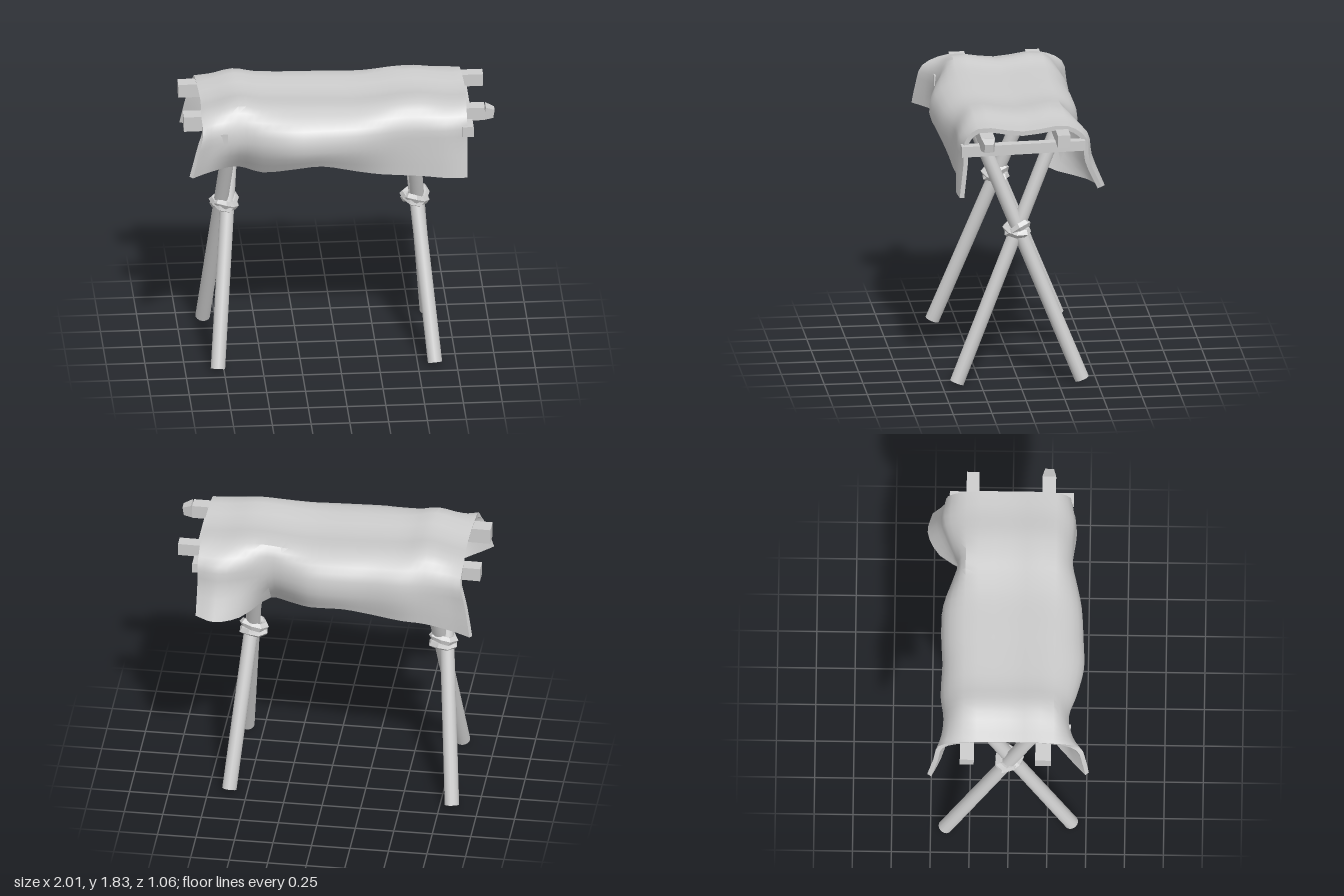
import * as THREE from 'three';
import { toCreasedNormals } from 'three/addons/utils/BufferGeometryUtils.js';

const V = (x, y, z) => new THREE.Vector3(x, y, z);
const UP = V(0, 1, 0);

// Straight pole or beam between two points; 4 sides gives a square beam
function bar(name, a, b, r0, r1, sides, mat) {
  const dir = b.clone().sub(a);
  let geo = new THREE.CylinderGeometry(r1, r0, dir.length(), sides);
  if (sides === 4) geo.rotateY(Math.PI / 4);
  geo = toCreasedNormals(geo, 0.7);
  const mesh = new THREE.Mesh(geo, mat);
  mesh.name = name;
  mesh.quaternion.setFromUnitVectors(UP, dir.normalize());
  mesh.position.copy(a).add(b).multiplyScalar(0.5);
  return mesh;
}

// Lumpy lashing: two tilted, faceted loops around the crossing
function lashing(x, mat) {
  const group = new THREE.Group();
  group.name = 'ropeLashing';
  [-1, 1].forEach((s) => {
    const geo = new THREE.TorusGeometry(0.068, 0.028, 5, 9);
    geo.rotateX(Math.PI / 2);
    const p = geo.attributes.position;
    for (let i = 0; i < p.count; i++) {
      const a = Math.atan2(p.getZ(i), p.getX(i));
      const k = 1 + 0.09 * Math.sin(3 * a + s);
      p.setXYZ(i, p.getX(i) * k, p.getY(i) + 0.012 * Math.sin(2 * a + s), p.getZ(i) * k);
    }
    const flat = geo.toNonIndexed();
    flat.computeVertexNormals();
    const loop = new THREE.Mesh(flat, mat);
    loop.name = 'ropeLoop';
    loop.rotation.set(s * 0.3, s * 0.8, s * 0.12);
    loop.position.y = s * 0.01;
    group.add(loop);
  });
  group.position.set(x, 1.015, 0);
  return group;
}

// Draped hide: x, hem x, back hem z/y, back bulge z, top y, front bulge z, front hem z/y
const STATIONS = [
  [-0.89, -0.96, -0.52, 1.36, -0.48, 1.77, 0.50, 0.52, 1.43],
  [-0.80, -0.84, -0.46, 1.36, -0.44, 1.79, 0.42, 0.41, 1.42],
  [-0.65, -0.65, -0.41, 1.37, -0.42, 1.825, 0.38, 0.27, 1.39],
  [-0.50, -0.50, -0.41, 1.38, -0.44, 1.80, 0.43, 0.33, 1.37],
  [-0.30, -0.30, -0.39, 1.40, -0.43, 1.79, 0.48, 0.41, 1.42],
  [-0.12, -0.12, -0.40, 1.43, -0.44, 1.785, 0.475, 0.42, 1.44],
  [0.10, 0.10, -0.37, 1.41, -0.43, 1.78, 0.46, 0.40, 1.39],
  [0.25, 0.25, -0.27, 1.38, -0.37, 1.79, 0.43, 0.39, 1.36],
  [0.38, 0.37, -0.22, 1.37, -0.33, 1.805, 0.40, 0.38, 1.345],
  [0.52, 0.54, -0.46, 1.35, -0.40, 1.81, 0.40, 0.40, 1.34],
  [0.68, 0.70, -0.54, 1.35, -0.46, 1.79, 0.41, 0.42, 1.33],
  [0.82, 0.82, -0.51, 1.37, -0.43, 1.785, 0.385, 0.41, 1.325],
];

function drape(mat) {
  // Control cross-sections running from the back hem over the top to the front hem
  const rows = STATIONS.map(([x, hx, bz, by, bb, ty, fb, fz, fy]) => {
    const mx = (x + hx) / 2;
    return [
      V(hx, by, bz), V(mx, 1.55, bb), V(x, 1.70, bb * 0.72 - 0.10), V(x, ty, -0.29),
      V(x + 0.015, ty - 0.022, 0),
      V(x, ty, 0.29), V(x, 1.70, fb * 0.72 + 0.10), V(mx, 1.56, fb), V(hx, fy, fz),
    ];
  });
  const smooth = (pts, n) => new THREE.CatmullRomCurve3(pts, false, 'centripetal').getPoints(n);
  const nu = 33, nv = 24;
  const fine = rows.map((r) => smooth(r, nv));
  const cols = [];
  for (let j = 0; j <= nv; j++) cols.push(smooth(fine.map((r) => r[j]), nu));

  const pos = [], idx = [], w = nv + 1, n = (nu + 1) * w;
  for (let i = 0; i <= nu; i++) for (let j = 0; j <= nv; j++) pos.push(...cols[j][i].toArray());
  for (let i = 0; i < nu; i++) for (let j = 0; j < nv; j++) {
    const a = i * w + j;
    idx.push(a, a + 1, a + w, a + 1, a + w + 1, a + w);
  }
  const top = new THREE.BufferGeometry();
  top.setAttribute('position', new THREE.Float32BufferAttribute(pos, 3));
  top.setIndex(idx);
  top.computeVertexNormals();

  // Inner skin offset along the normals, then a rim closing the edge
  const nor = top.attributes.normal.array;
  const all = pos.concat(pos.map((v, k) => v - 0.03 * nor[k]));
  const faces = idx.slice();
  for (let k = 0; k < idx.length; k += 3) faces.push(idx[k] + n, idx[k + 2] + n, idx[k + 1] + n);
  const rim = (a, b) => faces.push(b, a, a + n, b, a + n, b + n);
  for (let j = 0; j < nv; j++) {
    rim(j, j + 1);
    rim(nu * w + j + 1, nu * w + j);
  }
  for (let i = 0; i < nu; i++) {
    rim((i + 1) * w, i * w);
    rim(i * w + nv, (i + 1) * w + nv);
  }
  const shell = new THREE.BufferGeometry();
  shell.setAttribute('position', new THREE.Float32BufferAttribute(all, 3));
  shell.setIndex(faces);
  const mesh = new THREE.Mesh(toCreasedNormals(shell, 0.6), mat);
  mesh.name = 'drapedHide';
  return mesh;
}

export function createModel() {
  const model = new THREE.Group();
  model.name = 'hideCoveredRack';
  const grey = new THREE.MeshStandardMaterial({ color: 0xcccccc });
  grey.name = 'plainGrey';

  // Two pairs of crossed legs: bottom x, top x, side of the foot
  [[-0.79, -0.64, 1], [-0.83, -0.685, -1], [0.61, 0.455, 1], [0.615, 0.465, -1]].forEach(([x0, x1, s]) => {
    model.add(bar('crossedLeg', V(x0, 0.02, 0.405 * s), V(x1, 1.68, -0.265 * s), 0.047, 0.045, 14, grey));
  });
  model.add(lashing(-0.72, grey), lashing(0.51, grey));

  // Long rails with tapered tips on the left end
  model.add(
    bar('frontRail', V(-1, 1.70, 0.225), V(0.94, 1.715, 0.24), 0.072, 0.062, 4, grey),
    bar('frontRailTip', V(0.94, 1.715, 0.24), V(1, 1.705, 0.24), 0.062, 0.04, 4, grey),
    bar('backRail', V(-1, 1.705, -0.265), V(0.965, 1.725, -0.25), 0.064, 0.058, 4, grey),
  );

  // Cross beams under the rails
  [0.825, -0.76].forEach((x) => {
    model.add(bar('crossBeam', V(x, 1.643, 0.4), V(x, 1.66, -0.4), 0.05, 0.046, 4, grey));
  });

  model.add(drape(grey));
  return model;
}
